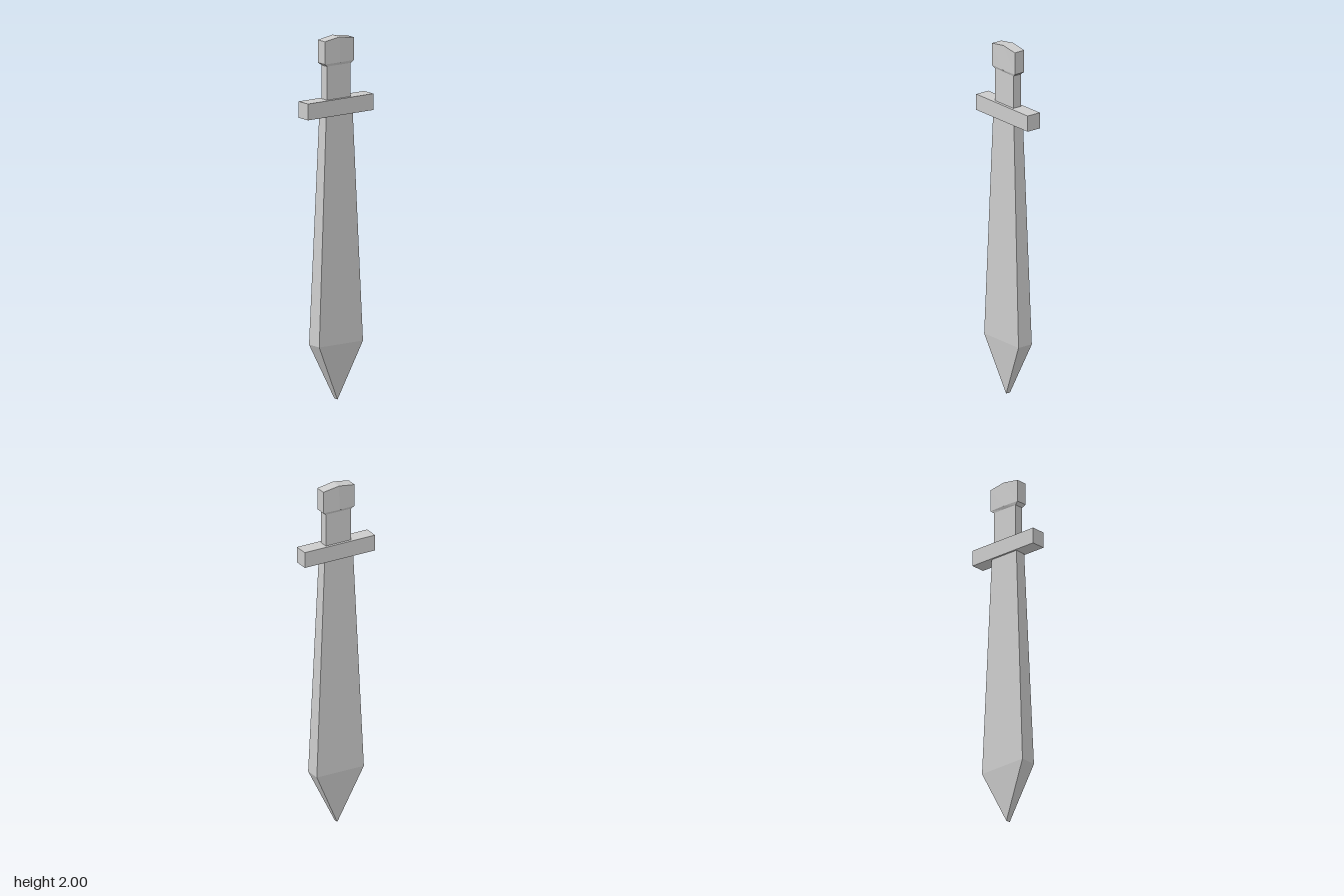
import * as THREE from 'three';

// Lofts six-point cross-sections from bottom to top.
// Each row: y, half width, half depth at the edges, half depth at the middle, rise of the middle.
function loft(rows) {
  const positions = [];
  const index = [];
  for (const [y, w, d, c = d, rise = 0] of rows) {
    positions.push(-w, y, -d, 0, y + rise, -c, w, y, -d, w, y, d, 0, y + rise, c, -w, y, d);
  }
  // Side walls
  for (let r = 0; r < rows.length - 1; r++) {
    for (let i = 0; i < 6; i++) {
      const j = (i + 1) % 6;
      const a = r * 6 + i, b = r * 6 + j;
      index.push(a, b + 6, b, a, a + 6, b + 6);
    }
  }
  // End caps
  const top = (rows.length - 1) * 6;
  for (const [a, b, c] of [[0, 1, 4], [0, 4, 5], [1, 2, 3], [1, 3, 4]]) {
    index.push(a, b, c, top + a, top + c, top + b);
  }
  const geometry = new THREE.BufferGeometry();
  geometry.setAttribute('position', new THREE.Float32BufferAttribute(positions, 3));
  geometry.setIndex(index);
  const flat = geometry.toNonIndexed();
  flat.computeVertexNormals();
  return flat;
}

export function createModel() {
  const group = new THREE.Group();
  const material = new THREE.MeshStandardMaterial({ color: 0xcccccc, flatShading: true });
  const add = (name, geometry) => {
    const mesh = new THREE.Mesh(geometry, material);
    mesh.name = name;
    group.add(mesh);
    return mesh;
  };

  // Blade, pointing down and widest just above the tip
  add('blade', loft([
    [0, 0.001, 0.013],
    [0.31, 0.147, 0.046],
    [1.6, 0.088, 0.031],
  ]));

  // Crossguard
  const guard = add('crossguard', new THREE.BoxGeometry(0.44, 0.09, 0.084));
  guard.position.y = 1.615;

  // Grip and the flared pommel with its peaked top
  add('gripAndPommel', loft([
    [1.63, 0.079, 0.026],
    [1.845, 0.079, 0.026],
    [1.86, 0.098, 0.032, 0.036],
    [1.985, 0.098, 0.032, 0.033, 0.015],
  ]));

  return group;
}
